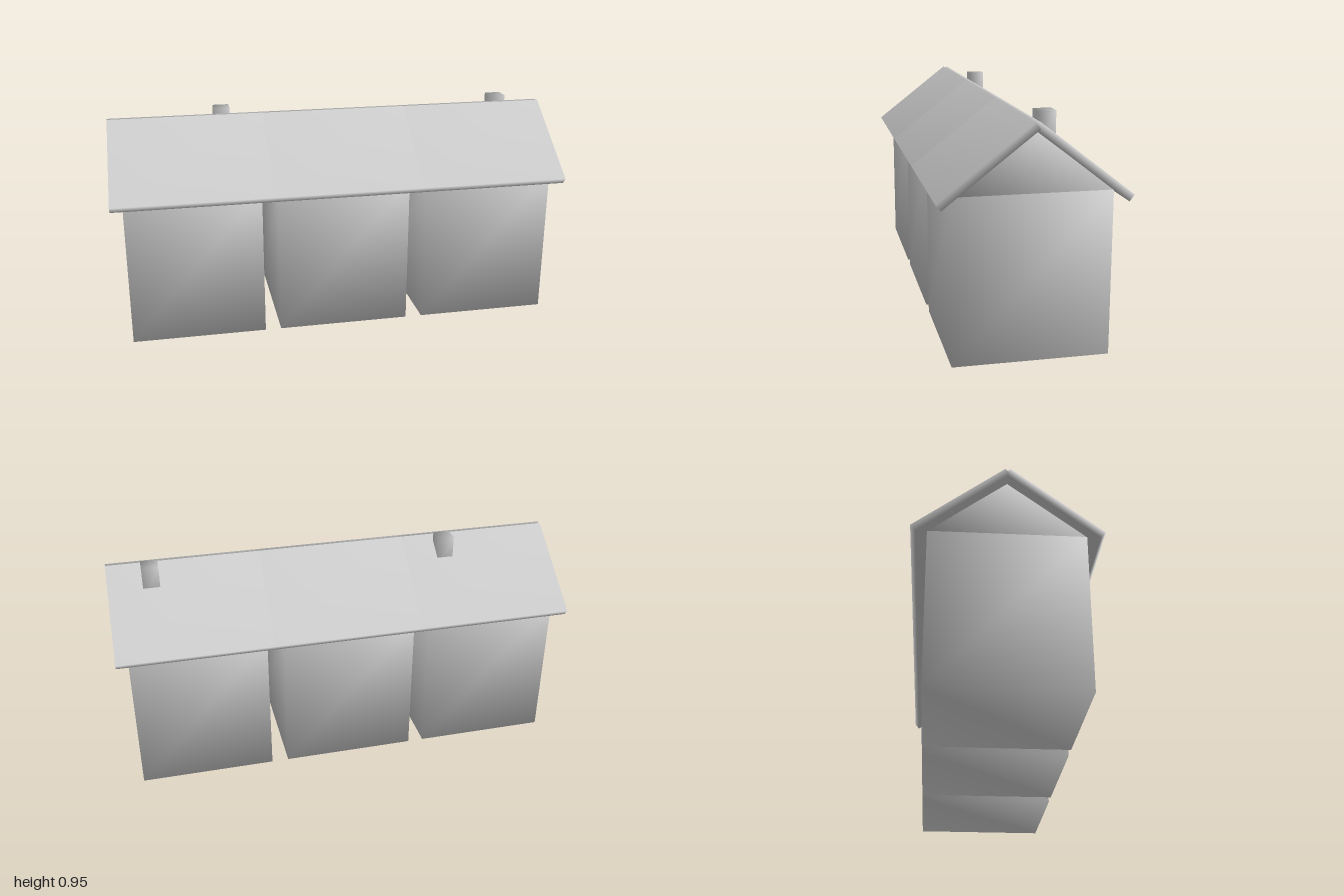
import * as THREE from 'three';
import { mergeVertices } from 'three/addons/utils/BufferGeometryUtils.js';

const material = new THREE.MeshStandardMaterial({ color: 0xcccccc });

// Weld corners so shading runs softly around every edge
function soften(geometry) {
  geometry.deleteAttribute('uv');
  geometry.deleteAttribute('normal');
  const welded = mergeVertices(geometry, 1e-4);
  welded.computeVertexNormals();
  return welded;
}

function addPart(parent, name, geometry, x, y, z) {
  const mesh = new THREE.Mesh(soften(geometry), material);
  mesh.name = name;
  mesh.position.set(x, y, z);
  parent.add(mesh);
  return mesh;
}

const WIDTH = 0.585, DEPTH = 0.62, EAVES = 0.66, PEAK = 0.897;
const PITCH = Math.atan2(0.282, 0.363);

// Triangular prism filling the space beneath the roof
function gableGeometry() {
  const triangle = new THREE.Shape([
    new THREE.Vector2(-DEPTH / 2, 0),
    new THREE.Vector2(DEPTH / 2, 0),
    new THREE.Vector2(0, PEAK - EAVES),
  ]);
  const geometry = new THREE.ExtrudeGeometry(triangle, { depth: WIDTH, bevelEnabled: false });
  return geometry.translate(0, 0, -WIDTH / 2).rotateY(Math.PI / 2);
}

function createHouse({ x, roof: [left, right], chimney }) {
  const house = new THREE.Group();
  house.name = 'house';
  addPart(house, 'walls', new THREE.BoxGeometry(WIDTH, EAVES, DEPTH), x, EAVES / 2, 0);
  addPart(house, 'gable', gableGeometry(), x, EAVES, 0);

  // Two sloping slabs meeting at the ridge
  for (const side of [1, -1]) {
    const slab = addPart(house, side > 0 ? 'frontRoof' : 'backRoof',
      new THREE.BoxGeometry(right - left, 0.032, 0.46),
      (left + right) / 2, 0.778, side * 0.1815);
    slab.rotation.x = side * PITCH;
  }

  // Square chimney on the back slope
  if (chimney) addPart(house, 'chimney', new THREE.BoxGeometry(0.072, 0.15, 0.072), x + 0.16, 0.875, -0.073);
  return house;
}

export function createModel() {
  const row = new THREE.Group();
  row.name = 'terraceOfHouses';
  const houses = [
    { x: -0.657, roof: [-1, -0.315], chimney: true },
    { x: -0.002, roof: [-0.315, 0.34], chimney: false },
    { x: 0.657, roof: [0.34, 1], chimney: true },
  ];
  for (const spec of houses) row.add(createHouse(spec));
  return row;
}
